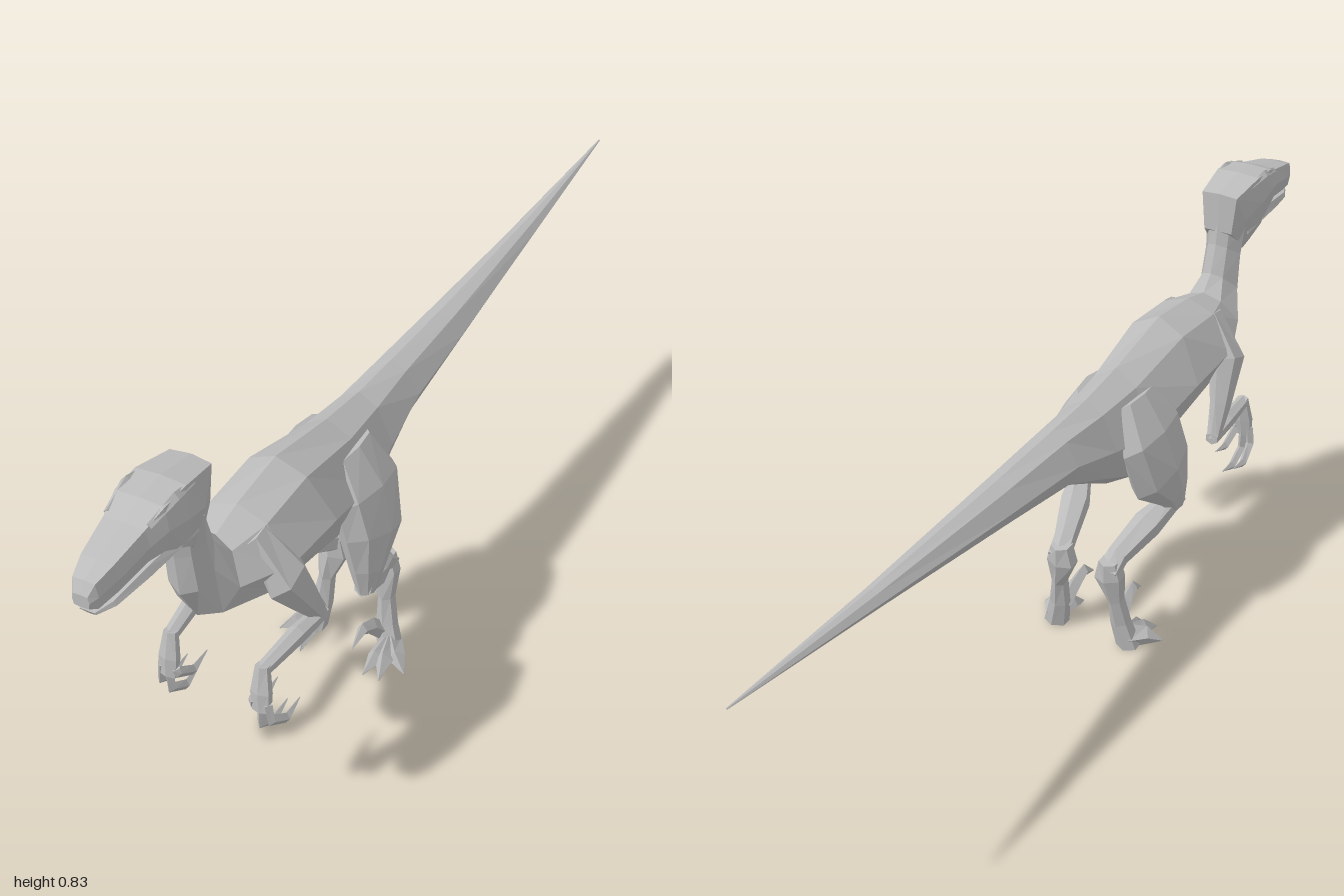
import * as THREE from 'three';

const skin = new THREE.MeshStandardMaterial({ color: 0xbcbcbc, flatShading: true });
skin.name = 'grey skin';

// Skin a list of equal rings of points into a closed, faceted mesh.
function loft(name, rings, mirror = false) {
  const pos = [];
  const m = mirror ? -1 : 1;
  const tri = (a, b, c) => {
    for (const p of mirror ? [a, c, b] : [a, b, c]) pos.push(p.x * m, Math.max(0, p.y), p.z);
  };
  const n = rings[0].length;
  for (let i = 0; i < rings.length - 1; i++) {
    for (let j = 0; j < n; j++) {
      const k = (j + 1) % n;
      const a = rings[i][j], b = rings[i][k], c = rings[i + 1][k], d = rings[i + 1][j];
      tri(a, d, b);
      tri(b, d, c);
    }
  }
  const last = rings[rings.length - 1];
  for (let j = 1; j < n - 1; j++) {
    tri(rings[0][0], rings[0][j], rings[0][j + 1]);
    tri(last[0], last[j + 1], last[j]);
  }
  const geometry = new THREE.BufferGeometry();
  geometry.setAttribute('position', new THREE.Float32BufferAttribute(pos, 3));
  geometry.computeVertexNormals();
  const mesh = new THREE.Mesh(geometry, skin);
  mesh.name = name;
  return mesh;
}

// Symmetric ring between a top and a bottom point: [zTop, yTop, zBottom, yBottom, halfWidth].
// The shape lists [drop, width] steps down one side.
const roundShape = [[0.12, 0.55], [0.5, 1], [0.86, 0.68]];
const headShape = [[0.03, 0.84], [0.5, 1], [0.95, 0.86]];
const jawShape = [[0, 0.85], [0.4, 1], [0.8, 0.6]];
function spine(name, sections, shape) {
  return loft(name, sections.map(([zt, yt, zb, yb, w]) => {
    const at = (t, x) => new THREE.Vector3(x * w, yt + (yb - yt) * t, zt + (zb - zt) * t);
    return [
      at(0, 0), ...shape.map(([t, x]) => at(t, x)),
      at(1, 0), ...shape.map(([t, x]) => at(t, -x)).reverse(),
    ];
  }));
}

// Tapered limb along stations [x, y, z, sideRadius, depthRadius].
function limb(name, stations, mirror, sides = 6) {
  const centres = stations.map(([x, y, z]) => new THREE.Vector3(x, y, z));
  const rings = stations.map(([, , , rs, rd], i) => {
    const next = centres[Math.min(i + 1, centres.length - 1)];
    const prev = centres[Math.max(i - 1, 0)];
    const t = next.clone().sub(prev).normalize();
    const side = new THREE.Vector3(1, 0, 0).addScaledVector(t, -t.x).normalize();
    const depth = t.clone().cross(side);
    return Array.from({ length: sides }, (_, j) => {
      const a = (j / sides) * Math.PI * 2;
      return centres[i].clone()
        .addScaledVector(side, Math.sin(a) * rs)
        .addScaledVector(depth, Math.cos(a) * rd);
    });
  });
  return loft(name, rings, mirror);
}

function createArm(mirror) {
  const arm = new THREE.Group();
  arm.name = mirror ? 'rightArm' : 'leftArm';
  arm.add(
    limb('upperArm', [
      [0.05, 0.595, 0.58, 0.012, 0.03], [0.094, 0.505, 0.565, 0.034, 0.05],
      [0.108, 0.42, 0.515, 0.021, 0.03], [0.113, 0.355, 0.478, 0.014, 0.014],
    ], mirror),
    limb('forearm', [
      [0.113, 0.36, 0.47, 0.015, 0.014], [0.106, 0.362, 0.55, 0.018, 0.019],
      [0.095, 0.355, 0.655, 0.014, 0.013],
    ], mirror),
    limb('hand', [
      [0.095, 0.365, 0.65, 0.014, 0.012], [0.096, 0.31, 0.66, 0.022, 0.014],
      [0.098, 0.27, 0.665, 0.02, 0.01],
    ], mirror),
  );
  // Three curled fingers ending in claws
  for (const [x, tipX, lift] of [[0.082, 0.075, 0.045], [0.097, 0.094, 0], [0.11, 0.12, 0.015]]) {
    arm.add(limb('finger', [
      [x, 0.29, 0.663, 0.01, 0.01],
      [(x + tipX) / 2, 0.235 + lift, 0.662, 0.009, 0.011],
      [tipX, 0.208 + lift, 0.62, 0.008, 0.011],
      [tipX, 0.218 + lift, 0.572, 0.001, 0.001],
    ], mirror, 4));
  }
  return arm;
}

function createLeg(mirror) {
  const leg = new THREE.Group();
  leg.name = mirror ? 'rightLeg' : 'leftLeg';
  leg.add(
    limb('thigh', [
      [0.045, 0.555, 0.25, 0.025, 0.07], [0.08, 0.48, 0.25, 0.038, 0.105],
      [0.098, 0.395, 0.265, 0.044, 0.095], [0.11, 0.33, 0.3, 0.028, 0.05],
      [0.115, 0.285, 0.312, 0.016, 0.025],
    ], mirror, 8),
    limb('shin', [
      [0.115, 0.305, 0.325, 0.018, 0.022], [0.086, 0.265, 0.24, 0.032, 0.03],
      [0.063, 0.225, 0.16, 0.024, 0.024], [0.058, 0.2, 0.125, 0.026, 0.018],
    ], mirror),
    limb('ankle', [
      [0.057, 0.225, 0.135, 0.022, 0.025], [0.057, 0.185, 0.137, 0.034, 0.027],
      [0.068, 0.125, 0.147, 0.016, 0.022], [0.074, 0.065, 0.157, 0.022, 0.022],
      [0.088, 0, 0.168, 0.028, 0.025],
    ], mirror),
    limb('sickleClaw', [
      [0.068, 0.05, 0.168, 0.015, 0.018], [0.062, 0.085, 0.2, 0.014, 0.017],
      [0.06, 0.1, 0.232, 0.011, 0.016], [0.058, 0.078, 0.272, 0.001, 0.001],
    ], mirror, 4),
  );
  // Splayed walking toes
  for (const [x, z] of [[0.144, 0.215], [0.108, 0.255], [0.072, 0.255]]) {
    leg.add(limb('toe', [
      [0.085, 0.025, 0.16, 0.022, 0.03],
      [(0.085 + x) / 2, 0.018, (0.17 + z) / 2, 0.018, 0.022],
      [x, 0.002, z, 0.001, 0.002],
    ], mirror, 4));
  }
  return leg;
}

export function createModel() {
  const model = new THREE.Group();
  model.name = 'raptor';

  // Tail, torso and neck as one continuous form
  model.add(spine('body', [
    [-0.99, 0.587, -0.99, 0.584, 0.002], [-0.6, 0.578, -0.6, 0.54, 0.025],
    [-0.2, 0.58, -0.2, 0.49, 0.05], [0, 0.585, 0, 0.46, 0.06],
    [0.13, 0.59, 0.13, 0.395, 0.072], [0.25, 0.605, 0.22, 0.347, 0.088],
    [0.43, 0.64, 0.38, 0.4, 0.108], [0.56, 0.625, 0.56, 0.435, 0.108],
    [0.63, 0.607, 0.7, 0.48, 0.068], [0.66, 0.64, 0.745, 0.56, 0.044],
    [0.678, 0.7, 0.753, 0.645, 0.041], [0.685, 0.77, 0.76, 0.695, 0.045],
  ], roundShape));

  // Skull and upper jaw
  model.add(spine('head', [
    [0.683, 0.73, 0.745, 0.672, 0.038], [0.683, 0.815, 0.76, 0.685, 0.048],
    [0.77, 0.832, 0.79, 0.71, 0.058], [0.83, 0.828, 0.84, 0.74, 0.056],
    [0.875, 0.81, 0.875, 0.742, 0.046], [0.95, 0.792, 0.94, 0.731, 0.036],
    [0.988, 0.778, 0.985, 0.724, 0.025], [1, 0.757, 1, 0.732, 0.016],
  ], headShape));

  model.add(spine('lowerJaw', [
    [0.74, 0.735, 0.74, 0.68, 0.046], [0.8, 0.74, 0.8, 0.702, 0.052],
    [0.88, 0.733, 0.88, 0.695, 0.043], [0.955, 0.72, 0.95, 0.699, 0.031],
    [0.988, 0.716, 0.982, 0.706, 0.016],
  ], jawShape));

  for (const mirror of [false, true]) {
    model.add(limb('browRidge', [
      [0.042, 0.815, 0.745, 0.006, 0.006], [0.045, 0.823, 0.8, 0.01, 0.011],
      [0.038, 0.808, 0.865, 0.007, 0.007],
    ], mirror, 4));
    model.add(createArm(mirror), createLeg(mirror));
  }
  return model;
}
